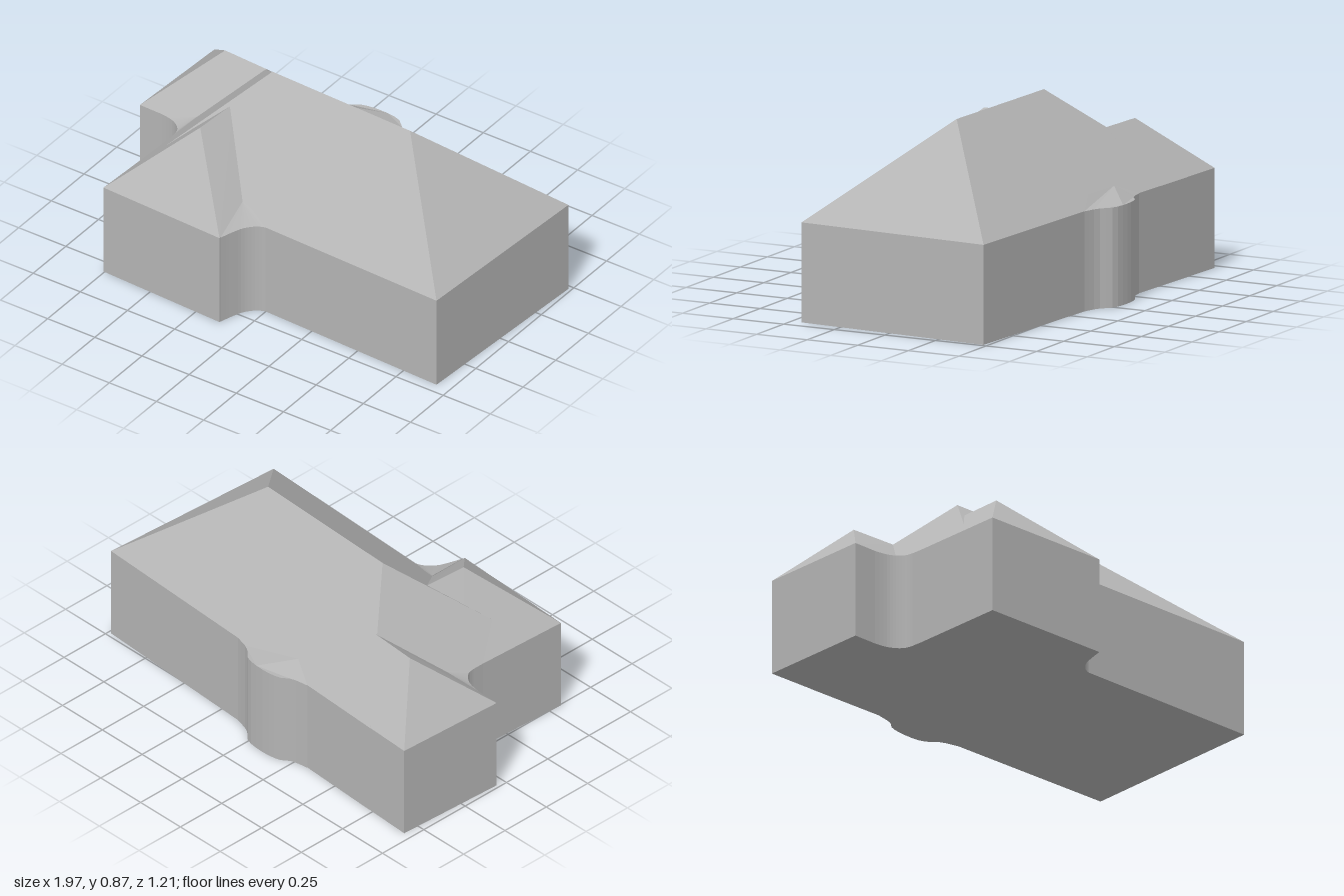
import * as THREE from 'three';

const BASE = 0.015, EAVE = 0.46;

// Walls, floor and hipped roof on a four-cornered plan.
// corners: [x, z] counter-clockwise from above; the ridge runs along the first side.
function hippedBlock(name, corners, ridge, height, material) {
  const pos = [];
  const face = (...p) => {
    for (let i = 1; i < p.length - 1; i++) pos.push(...p[0], ...p[i], ...p[i + 1]);
  };
  const low = corners.map(([x, z]) => [x, BASE, z]);
  const top = corners.map(([x, z]) => [x, EAVE, z]);
  const [start, end] = ridge.map(([x, z]) => [x, height, z]);
  for (let i = 0; i < 4; i++) {
    const j = (i + 1) % 4;
    face(low[i], low[j], top[j], top[i]);
  }
  face(low[3], low[2], low[1], low[0]);
  face(top[0], top[1], end, start);
  face(top[1], top[2], end);
  face(top[2], top[3], start, end);
  face(top[3], top[0], start);
  const geo = new THREE.BufferGeometry();
  geo.setAttribute('position', new THREE.Float32BufferAttribute(pos, 3));
  geo.computeVertexNormals();
  const mesh = new THREE.Mesh(geo, material);
  mesh.name = name;
  return mesh;
}

// Upright curved filler; its inner points are lifted to run into the roof slope.
function curvedFiller(name, curve, inner, lift, material) {
  const shape = new THREE.Shape();
  const toShape = ([x, z]) => new THREE.Vector2(x, -z);
  const pts = new THREE.SplineCurve(curve.map(toShape)).getPoints(16);
  const tucked = inner.map(toShape);
  shape.setFromPoints([...pts, ...tucked]);
  const geo = new THREE.ExtrudeGeometry(shape, { depth: EAVE - BASE, bevelEnabled: false });
  geo.rotateX(-Math.PI / 2).translate(0, BASE, 0);
  const p = geo.attributes.position;
  for (let i = 0; i < p.count; i++) {
    const isInner = tucked.some(t => Math.hypot(t.x - p.getX(i), -t.y - p.getZ(i)) < 1e-4);
    if (p.getY(i) > 0.3 && isInner) p.setY(i, EAVE + lift);
  }
  geo.computeVertexNormals();
  const mesh = new THREE.Mesh(geo, material);
  mesh.name = name;
  return mesh;
}

export function createModel() {
  const house = new THREE.Group();
  house.name = 'house';
  const grey = new THREE.MeshStandardMaterial({ color: 0xb4b4b4 });
  grey.name = 'plain grey';

  house.add(
    // Main body with its long ridge
    hippedBlock('mainHouse',
      [[-0.735, 0.385], [0.93, 0.45], [0.985, -0.48], [-0.735, -0.57]],
      [[-0.31, -0.085], [0.44, -0.055]], 0.88, grey),
    // Wing reaching forward, ridge along z
    hippedBlock('frontWing',
      [[-0.12, 0.595], [-0.1, 0.0], [-0.73, 0.0], [-0.755, 0.565]],
      [[-0.44, 0.28], [-0.425, 0.05]], 0.74, grey),
    // Wing at the rear of the right side
    hippedBlock('sideWing',
      [[-0.985, -0.045], [-0.45, -0.03], [-0.45, -0.555], [-0.96, -0.58]],
      [[-0.72, -0.315], [-0.49, -0.3]], 0.7, grey),
    // Rounded inner corners between the wings and the body
    curvedFiller('frontCornerFillet',
      [[0.03, 0.405], [-0.03, 0.425], [-0.075, 0.47], [-0.1, 0.53], [-0.118, 0.59]],
      [[-0.16, 0.36]], 0.045, grey),
    curvedFiller('sideCornerFillet',
      [[-0.89, -0.045], [-0.8, -0.028], [-0.745, 0.015], [-0.733, 0.08]],
      [[-0.7, -0.08]], 0.035, grey),
    // Shallow bulge on the rear wall
    curvedFiller('rearBulge',
      [[0.14, -0.525], [0.06, -0.55], [0.0, -0.598], [-0.1, -0.61], [-0.19, -0.598],
        [-0.24, -0.565], [-0.32, -0.55]],
      [[-0.2, -0.49], [0.02, -0.48]], 0.05, grey),
  );
  return house;
}
